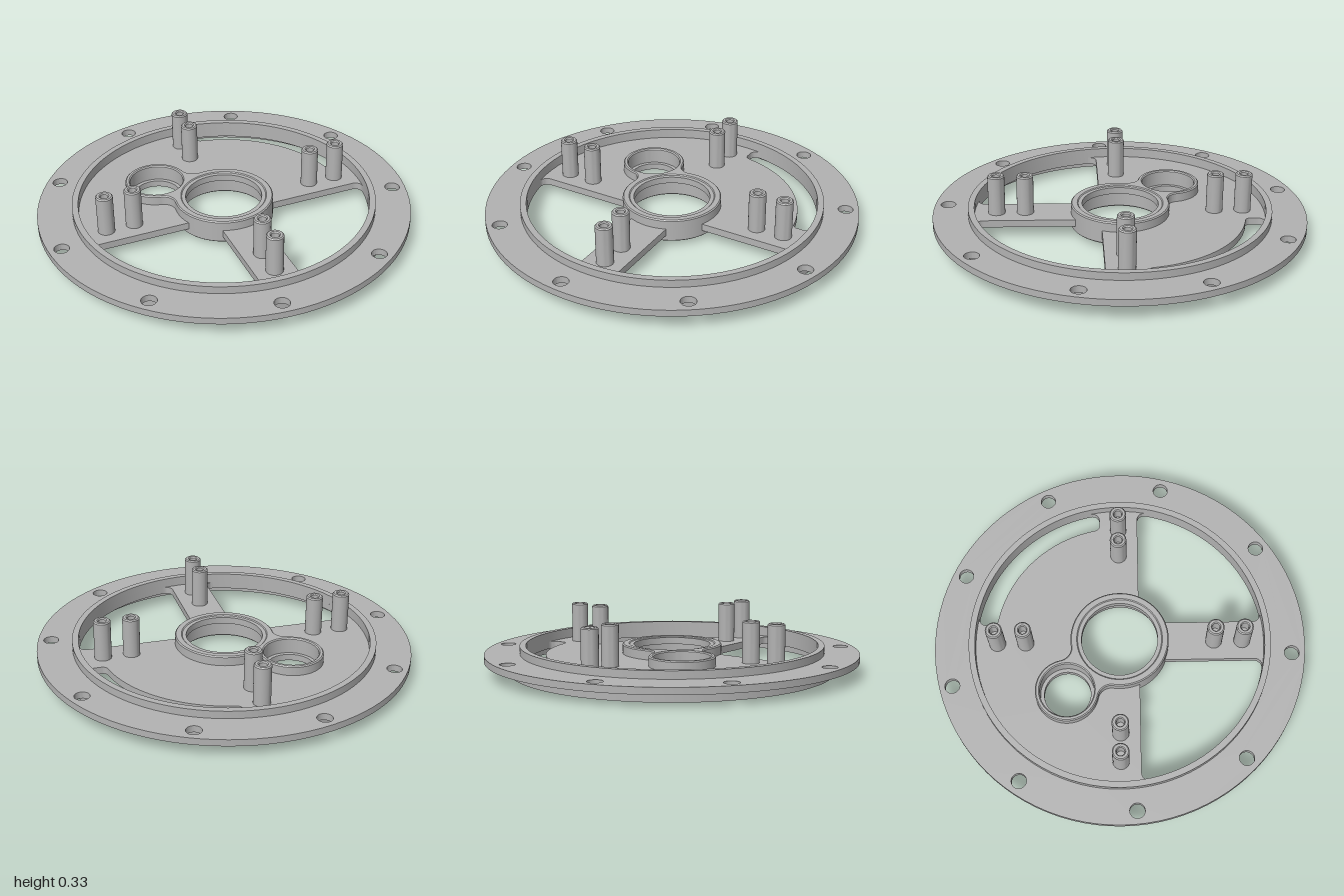
import * as THREE from 'three';
import { toCreasedNormals } from 'three/addons/utils/BufferGeometryUtils.js';

const metal = new THREE.MeshStandardMaterial({ color: 0xb2b2b2 });
metal.name = 'plain grey metal';

const polar = (r, a) => new THREE.Vector2(r * Math.cos(a), r * Math.sin(a));

function circlePath(r, x = 0, y = 0, Type = THREE.Path) {
  return new Type().absarc(x, y, r, 0, Math.PI * 2, false);
}

function add(group, name, geometry) {
  const mesh = new THREE.Mesh(toCreasedNormals(geometry, 0.5), metal);
  mesh.name = name;
  group.add(mesh);
  return mesh;
}

// Horizontal slab between two heights; shape y points to the back
function slab(shape, y0, y1, bevel = 0) {
  const g = new THREE.ExtrudeGeometry(shape, {
    depth: y1 - y0 - 2 * bevel, curveSegments: 48, bevelEnabled: bevel > 0,
    bevelThickness: bevel, bevelSize: bevel, bevelOffset: -bevel, bevelSegments: 1,
  });
  return g.rotateX(-Math.PI / 2).translate(0, y0 + bevel, 0);
}

// Ring turned from a closed rectangular section
function ring(inner, outer, y0, y1, segments = 96) {
  const p = [[outer, y0], [outer, y1], [inner, y1], [inner, y0], [outer, y0]];
  return new THREE.LatheGeometry(p.map(([x, y]) => new THREE.Vector2(x, y)), segments);
}

// Sector opening between two spokes, with rounded corners
function windowPath(direction, innerRadius, innerFillet) {
  const R = 0.78, half = 0.106, f = 0.04, half45 = Math.PI / 4;
  const side = [];
  const corner = (radius, fil, sign) => {
    // fillet between the spoke edge and an arc (sign 1: outer arc, -1: inner arc)
    const d = radius - sign * fil, n = half + fil;
    const u = Math.sqrt(d * d - n * n);
    const c = polar(d, half45 - Math.asin(n / d));
    const toArc = Math.atan2(c.y, c.x) + (sign > 0 ? 0 : Math.PI);
    const toLine = half45 + Math.PI / 2;
    const from = sign > 0 ? toArc : toLine, to = sign > 0 ? toLine : toArc;
    for (let i = 0; i <= 8; i++) {
      side.push(polar(fil, from + (to - from) * i / 8).add(c));
    }
    return u;
  };
  corner(R, f, 1);
  corner(innerRadius, innerFillet, -1);
  const arc = (a, b, r) => {
    const out = [];
    for (let i = 1; i < 40; i++) out.push(polar(r, a + (b - a) * i / 40));
    return out;
  };
  const first = side[0].angle(), last = side[side.length - 1];
  const lower = side.map((p) => new THREE.Vector2(p.x, -p.y)).reverse();
  const pts = [...side, ...arc(last.angle(), -last.angle(), innerRadius),
    ...lower, ...arc(-first, first, R)];
  return new THREE.Path(pts.map((p) => p.rotateAround(new THREE.Vector2(), direction)));
}

// Outline joining the hub and the small bearing seat with filleted necks
function collarShape() {
  const R = 0.265, r = 0.17, d = 0.4, f = 0.07;
  const cx = -(d * d + (R + f) ** 2 - (r + f) ** 2) / (2 * d);
  const cy = Math.sqrt((R + f) ** 2 - cx * cx);
  const hubA = Math.atan2(cy, cx), seatA = Math.atan2(cy, cx + d);
  const s = new THREE.Shape();
  s.absarc(0, 0, R, -hubA, hubA, false);
  s.absarc(cx, cy, f, hubA - Math.PI, seatA - Math.PI, true);
  s.absarc(-d, 0, r, seatA, Math.PI * 2 - seatA, false);
  s.absarc(cx, -cy, f, Math.PI - seatA, Math.PI - hubA, true);
  s.holes.push(circlePath(0.225), circlePath(0.145, -d, 0));
  return s;
}

export function createModel() {
  const model = new THREE.Group();
  model.name = 'bearingCover';
  const body = new THREE.Group();
  body.name = 'coverBody';
  model.add(body);

  // Bolt flange with nine holes
  const flange = circlePath(1, 0, 0, THREE.Shape);
  flange.holes.push(circlePath(0.8));
  for (let i = 0; i < 9; i++) {
    const p = polar(0.93, -Math.PI / 2 + i * Math.PI * 2 / 9);
    flange.holes.push(circlePath(0.04, p.x, p.y));
  }
  add(body, 'boltFlange', slab(flange, 0.08, 0.116));

  // Raised rim above and locating lip below
  add(body, 'upperRim', ring(0.78, 0.813, 0.07, 0.157));
  add(body, 'lowerLip', ring(0.85, 0.87, 0.0165, 0.09));

  // Web plate with spokes, two large windows and a curved slot
  const plate = circlePath(0.86, 0, 0, THREE.Shape);
  plate.holes.push(
    circlePath(0.235), circlePath(0.155, -0.4, 0),
    windowPath(0, 0.25, 0.015), windowPath(-Math.PI / 2, 0.25, 0.015),
    windowPath(Math.PI / 2, 0.675, 0.03),
  );
  add(body, 'webPlate', slab(plate, 0.065, 0.104));

  // Hub and bearing seat, each with an inner shoulder
  add(body, 'hubCollar', slab(collarShape(), 0.03, 0.157, 0.006));
  add(body, 'hubShoulder', ring(0.205, 0.228, 0.115, 0.152, 64));
  add(body, 'seatShoulder', ring(0.125, 0.148, 0.035, 0.07, 64)).position.x = -0.4;

  // Eight hollow standoffs in pairs along the diagonals
  const post = [[0.045, 0.09], [0.045, 0.314], [0.039, 0.32], [0.026, 0.32],
    [0.021, 0.314], [0.021, 0.24], [0, 0.24]].map(([x, y]) => new THREE.Vector2(x, y));
  for (const sx of [-1, 1]) for (const sz of [-1, 1]) for (const d of [0.36, 0.468]) {
    add(body, 'standoff', new THREE.LatheGeometry(post, 32)).position.set(sx * d, 0, sz * d);
  }

  // Slight lean of the whole cover
  body.rotation.set(-0.0025, 0, 0.0155);
  return model;
}
